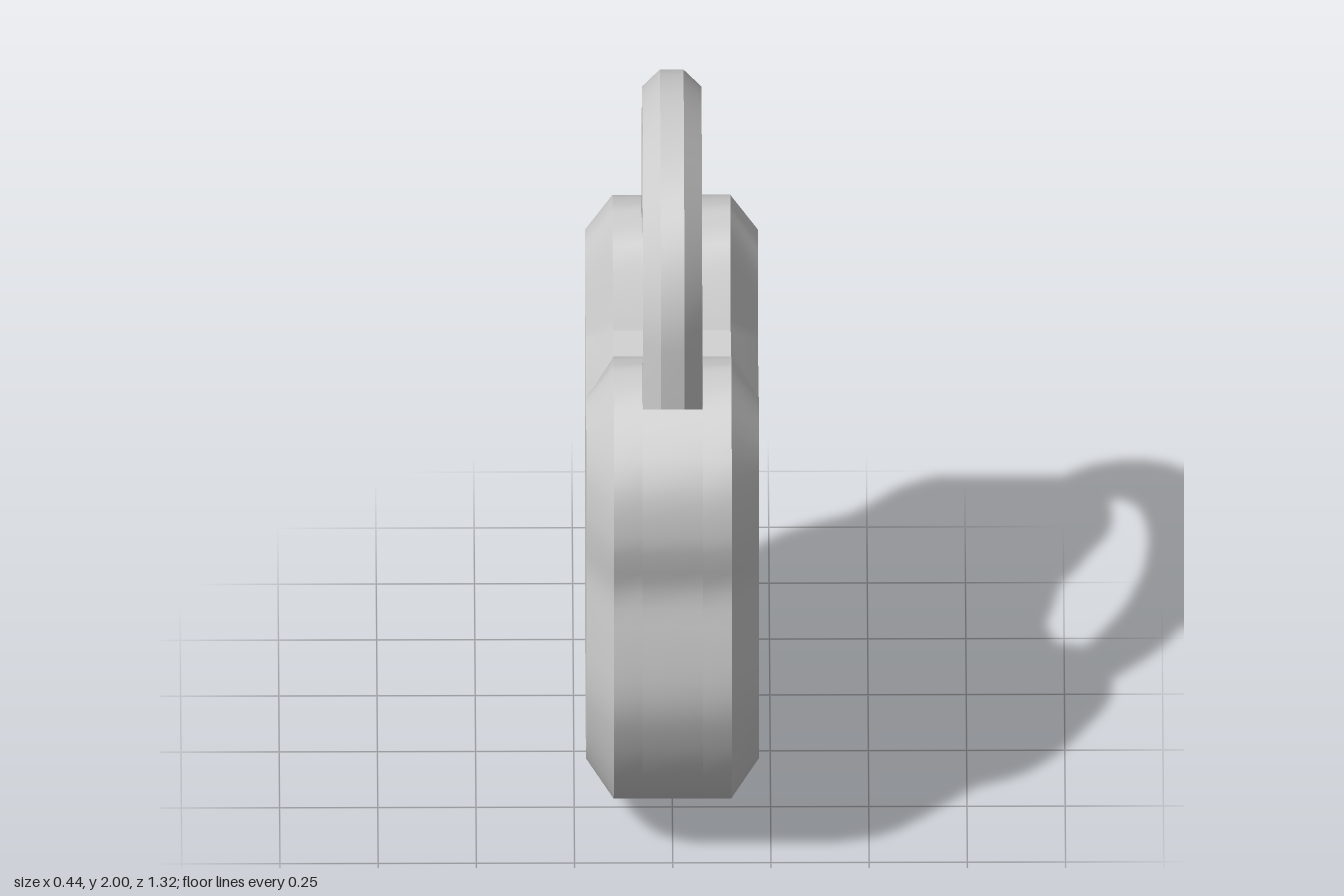
import * as THREE from 'three';
import { toCreasedNormals } from 'three/addons/utils/BufferGeometryUtils.js';

const CREASE = 0.5;
const SLOT_IN = 0.325, SLOT_OUT = 0.48, SLOT_FLOOR = 1.3; // sockets for the shackle legs
const SLOT_HALF = 0.077, WALL = 0.15, FACE = 0.22;        // half thicknesses

// Half outlines from bottom centre, round the ear, to the corner of the notch
const OUTER = [[0, 0], [0.22, 0.035], [0.42, 0.145], [0.56, 0.31], [0.635, 0.49], [0.658, 0.62],
  [0.642, 0.77], [0.617, 0.91], [0.635, 1.02], [0.642, 1.11], [0.61, 1.25], [SLOT_OUT, 1.39],
  [0.38, 1.432], [SLOT_IN, 1.427], [0.25, 1.395], [0.18, 1.31], [0.12, 1.22]];
const INNER = [[0, 0.105], [0.195, 0.137], [0.37, 0.235], [0.48, 0.37], [0.54, 0.51], [0.556, 0.62],
  [0.545, 0.77], [0.533, 0.91], [0.54, 1.02], [0.538, 1.11], [0.51, 1.22], [0.44, 1.31],
  [0.37, 1.332], [0.325, 1.32], [0.285, 1.28], [0.235, 1.21], [0.185, 1.14]];

// Mirrors a half outline, smooths it and closes it at the middle of the notch
function outline(half, notchY) {
  const mirrored = half.slice(1).reverse().map(([x, y]) => [-x, y]);
  const control = [...mirrored, ...half].map(([x, y]) => new THREE.Vector2(x, y));
  const points = new THREE.SplineCurve(control).getPoints((control.length - 1) * 3);
  return [...points, new THREE.Vector2(0, notchY)];
}

// Cuts the two leg sockets into the top of an outline
function withSlots(points) {
  const near = (a, b) => Math.abs(a - b) < 1e-4;
  return points.flatMap((p) => {
    const ax = Math.abs(p.x);
    if (p.y < SLOT_FLOOR || ax < SLOT_IN - 1e-4 || ax > SLOT_OUT + 1e-4) return [p];
    const floor = new THREE.Vector2(p.x, SLOT_FLOOR);
    if (near(p.x, -SLOT_IN) || near(p.x, SLOT_OUT)) return [p, floor];
    if (near(p.x, SLOT_IN) || near(p.x, -SLOT_OUT)) return [floor, p];
    return [];
  });
}

// Skins a row of closed rings that have equal point counts
function skin(rings) {
  const pos = [];
  for (let r = 0; r < rings.length - 1; r++) {
    const a = rings[r], b = rings[r + 1];
    for (let i = 0; i < a.length; i++) {
      const j = (i + 1) % a.length;
      for (const p of [a[i], a[j], b[j], a[i], b[j], b[i]]) pos.push(p.x, p.y, p.z);
    }
  }
  const g = new THREE.BufferGeometry();
  g.setAttribute('position', new THREE.Float32BufferAttribute(pos, 3));
  return toCreasedNormals(g, CREASE);
}

const ringAt = (points, z) => points.map((p) => new THREE.Vector3(p.x, p.y, z));

function keyholeOutline() {
  const r = 0.126, half = 0.077, cy = 0.68, a = Math.acos(half / r);
  const points = [new THREE.Vector2(-half, 0.37), new THREE.Vector2(half, 0.37)];
  for (let i = 0; i <= 28; i++) {
    const t = -a + (Math.PI + 2 * a) * i / 28;
    points.push(new THREE.Vector2(r * Math.cos(t), cy + r * Math.sin(t)));
  }
  return points;
}

function shapeOf(points, hole) {
  const shape = new THREE.Shape(points);
  if (hole) shape.holes.push(new THREE.Path(hole));
  return shape;
}

function slab(points, hole, z0, z1) {
  const g = new THREE.ExtrudeGeometry(shapeOf(points, hole), { depth: z1 - z0, bevelEnabled: false });
  g.translate(0, 0, z0);
  return toCreasedNormals(g, CREASE);
}

// Octagonal bar swept up one leg, over the arch and down the other
function shackleGeometry() {
  const mid = 0.402, half = 0.0755, cut = 0.03, baseY = 1.56, squash = 0.44 / (mid + half);
  const section = [[half, -cut], [half, cut], [cut, half], [-cut, half],
    [-half, cut], [-half, -cut], [-cut, -half], [cut, -half]]; // [thickness, radial]
  const ring = (angle, y) => section.map(([z, r]) => new THREE.Vector3(
    (mid + r) * Math.cos(angle), y + (mid + r) * Math.sin(angle) * squash, z));
  const rings = [ring(0, SLOT_FLOOR)];
  for (let i = 0; i <= 24; i++) rings.push(ring(Math.PI * i / 24, baseY));
  rings.push(ring(Math.PI, SLOT_FLOOR));
  return skin(rings);
}

export function createModel() {
  const material = new THREE.MeshStandardMaterial({ color: 0xcccccc });
  const model = new THREE.Group();
  model.name = 'padlock';
  const body = new THREE.Group();
  body.name = 'body';
  model.add(body);
  const add = (parent, name, geometry) => {
    const mesh = new THREE.Mesh(geometry, material);
    mesh.name = name;
    parent.add(mesh);
  };

  const outer = outline(OUTER, 1.18);
  const inner = outline(INNER, 1.073);
  const keyhole = keyholeOutline();

  // Body in three layers: the middle one holds the sockets, the last closes the keyhole
  add(body, 'keyholeSideLayer', slab(outer, keyhole, SLOT_HALF, WALL));
  add(body, 'middleLayer', slab(withSlots(outer), keyhole, -SLOT_HALF, SLOT_HALF));
  add(body, 'plainSideLayer', slab(outer, null, -WALL, -SLOT_HALF));

  // Sloped rims and flat faces
  add(body, 'keyholeSideRim', skin([ringAt(outer, WALL), ringAt(inner, FACE)]));
  add(body, 'plainSideRim', skin([ringAt(inner, -FACE), ringAt(outer, -WALL)]));
  add(body, 'keyholeFace', new THREE.ShapeGeometry(shapeOf(inner, keyhole)).translate(0, 0, FACE));
  add(body, 'plainFace', new THREE.ShapeGeometry(shapeOf(inner)).rotateY(Math.PI).translate(0, 0, -FACE));
  add(body, 'keyholeWall', skin([ringAt(keyhole, FACE), ringAt(keyhole, WALL)]));

  add(model, 'shackle', shackleGeometry());

  // Turn the keyhole to +x
  model.rotation.y = Math.PI / 2;
  const root = new THREE.Group();
  root.name = 'padlockModel';
  root.add(model);
  return root;
}
